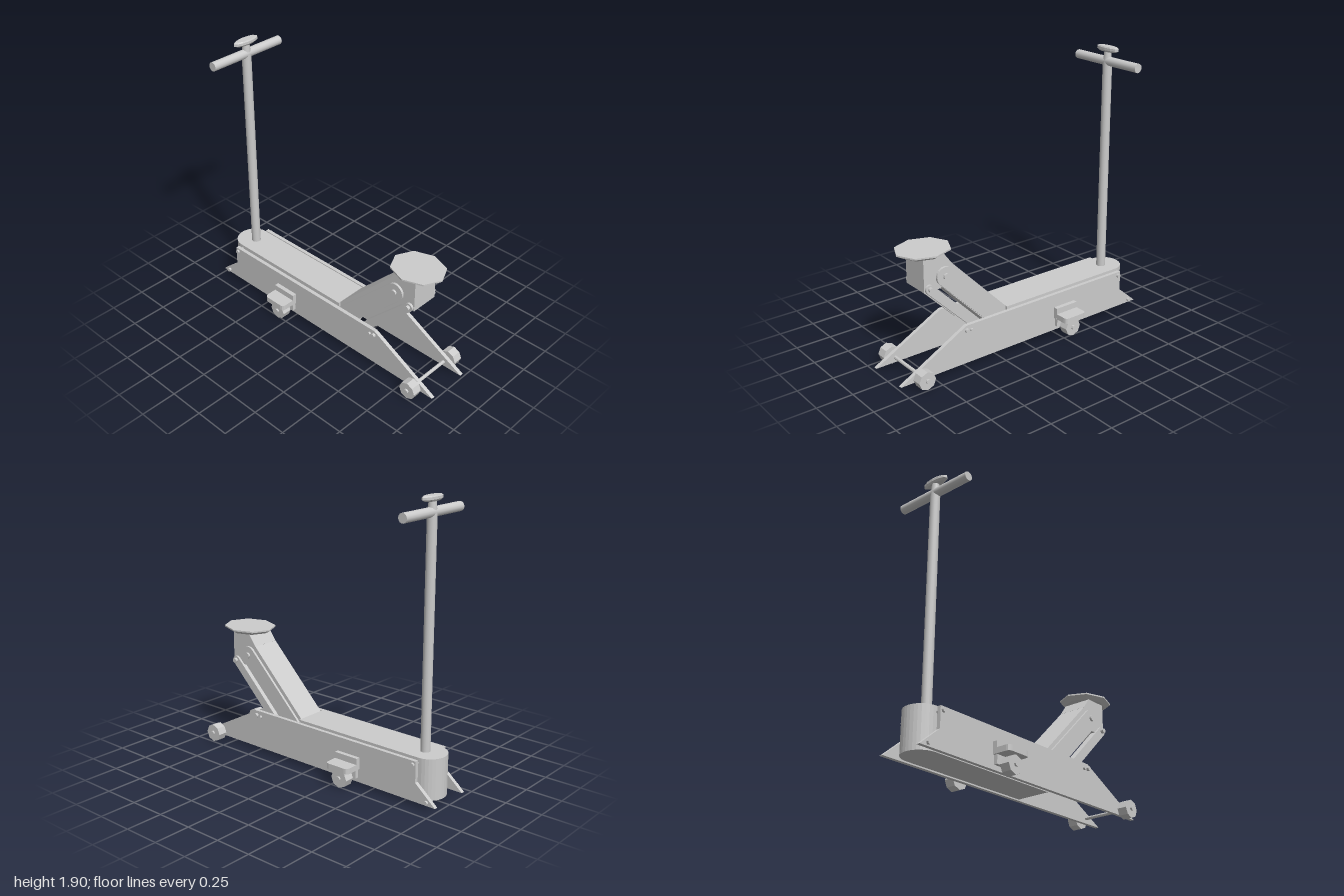
import * as THREE from 'three';

export function createModel() {
  const model = new THREE.Group();
  const flat = new THREE.MeshStandardMaterial({ color: 0xcccccc, flatShading: true });
  const smooth = new THREE.MeshStandardMaterial({ color: 0xcccccc });

  function add(name, geometry, x = 0, y = 0, z = 0, material = flat) {
    const mesh = new THREE.Mesh(geometry, material);
    mesh.name = name;
    mesh.position.set(x, y, z);
    model.add(mesh);
    return mesh;
  }
  const box = (name, w, h, d, x, y, z) => add(name, new THREE.BoxGeometry(w, h, d), x, y, z);

  // Side profile given as (z, y), extruded across x from x0 to x1
  function slab(name, shape, x0, x1) {
    const geometry = new THREE.ExtrudeGeometry(shape, { depth: x1 - x0, bevelEnabled: false, curveSegments: 6 });
    geometry.rotateY(-Math.PI / 2).translate(x1, 0, 0);
    return add(name, geometry);
  }
  const polygon = (points) => new THREE.Shape(points.map(([z, y]) => new THREE.Vector2(z, y)));

  // Bar with round ends between two (z, y) points
  function link([z0, y0], [z1, y1], r) {
    const a = Math.atan2(y1 - y0, z1 - z0);
    const shape = new THREE.Shape();
    shape.absarc(z0, y0, r, a + Math.PI / 2, a + Math.PI * 1.5, false);
    shape.absarc(z1, y1, r, a - Math.PI / 2, a + Math.PI / 2, false);
    return shape;
  }

  // Cylinder lying along x, with a flat side count
  function rod(name, r, x0, x1, y, z, sides = 8, material = flat) {
    const geometry = new THREE.CylinderGeometry(r, r, Math.abs(x1 - x0), sides);
    geometry.rotateZ(Math.PI / 2);
    return add(name, geometry, (x0 + x1) / 2, y, z, material);
  }

  // Body: long box with a rounded rear end
  const plan = new THREE.Shape();
  plan.moveTo(-0.118, -0.14);
  plan.lineTo(0.118, -0.14);
  plan.lineTo(0.118, 0.84);
  plan.absellipse(0, 0.84, 0.118, 0.115, 0, Math.PI, false);
  const bodyGeometry = new THREE.ExtrudeGeometry(plan, { depth: 0.275, bevelEnabled: false, curveSegments: 8 });
  bodyGeometry.rotateX(-Math.PI / 2);
  add('body', bodyGeometry, 0, 0.03, 0);

  // Lifting arm and the block that carries the saddle
  slab('liftArm', polygon([[0.63, 0.8], [0.14, 0.305], [0.06, 0.225], [0.06, 0.08], [0.14, 0.08], [0.65, 0.6]]), -0.1, 0.1);
  slab('saddleBlock', polygon([[0.77, 0.81], [0.62, 0.81], [0.56, 0.73], [0.645, 0.58], [0.77, 0.58]]), -0.1, 0.1);

  // Saddle: tapered octagonal pad
  const saddleGeometry = new THREE.CylinderGeometry(0.19, 0.15, 0.022, 8);
  const saddleRim = new THREE.CylinderGeometry(0.19, 0.19, 0.01, 8);
  for (const [geometry, name, y] of [[saddleGeometry, 'saddle', 0.815], [saddleRim, 'saddleRim', 0.831]]) {
    geometry.scale(0.86, 1, 1);
    add(name, geometry, 0, y, 0.708);
  }

  // Parts mirrored on both sides
  for (const s of [1, -1]) {
    const side = s > 0 ? 'left' : 'right';
    const pair = (name, shape, x0, x1) => slab(side + name, shape, Math.min(s * x0, s * x1), Math.max(s * x0, s * x1));

    pair('FramePlate', polygon([[1, 0.028], [0.5, 0.295], [-0.85, 0.295], [-0.85, 0.155], [-1, 0.028]]), 0.134, 0.16);
    pair('ArmPlate', link([0.62, 0.66], [0.13, 0.17], 0.062), 0.09, 0.116);
    pair('ParallelRod', link([0.735, 0.6], [0.4, 0.265], 0.03), 0.065, 0.115);

    // Bolts: radius, inner x, outer x, y, z
    const bolts = [
      [0.02, 0.1, 0.13, 0.66, 0.617], [0.016, 0.09, 0.135, 0.602, 0.735],
      [0.015, 0.14, 0.178, 0.262, 0.497], [0.011, 0.14, 0.174, 0.257, 0.46],
      [0.014, 0.1, 0.174, 0.27, -0.828], [0.014, 0.14, 0.176, 0.05, -0.937],
    ];
    for (const [r, x0, x1, y, z] of bolts) rod(side + 'Bolt', r, s * x0, s * x1, y, z, 10);

    // Front wheel
    rod(side + 'FrontWheel', 0.062, s * 0.175, s * 0.243, 0.06, 0.857);
    rod(side + 'FrontWheelCap', 0.016, s * 0.24, s * 0.256, 0.062, 0.857);

    // Rear wheel bracket: upright plate, rounded shelf and hanger
    box(side + 'BracketPlate', 0.03, 0.08, 0.18, s * 0.175, 0.16, -0.323);
    const shelf = new THREE.Shape();
    shelf.moveTo(0.16, 0.235);
    shelf.lineTo(0.26, 0.235);
    shelf.quadraticCurveTo(0.287, 0.235, 0.287, 0.262);
    shelf.lineTo(0.287, 0.386);
    shelf.quadraticCurveTo(0.287, 0.413, 0.26, 0.413);
    shelf.lineTo(0.16, 0.413);
    const shelfGeometry = new THREE.ExtrudeGeometry(shelf, { depth: 0.038, bevelEnabled: false, curveSegments: 3 });
    shelfGeometry.rotateX(-Math.PI / 2);
    if (s < 0) shelfGeometry.rotateZ(Math.PI).translate(0, 0.038, 0);
    add(side + 'BracketShelf', shelfGeometry, 0, 0.12, 0);
    box(side + 'WheelHanger', 0.025, 0.07, 0.16, s * 0.172, 0.095, -0.323);

    // Rear wheel
    rod(side + 'RearWheel', 0.062, s * 0.19, s * 0.258, 0.06, -0.323);
    rod(side + 'RearWheelCap', 0.016, s * 0.15, s * 0.27, 0.062, -0.323);
  }
  rod('frontAxle', 0.012, -0.18, 0.18, 0.063, 0.857);

  // Handle: post, crossbar and release knob
  const handleZ = -0.808;
  add('handlePost', new THREE.CylinderGeometry(0.032, 0.032, 1.5, 16), 0, 1.05, handleZ, smooth);
  rod('handleCrossbar', 0.031, -0.29, 0.29, 1.797, handleZ, 14, smooth);
  add('knobNeck', new THREE.CylinderGeometry(0.022, 0.03, 0.08, 12), 0, 1.84, handleZ, smooth);
  const knobProfile = [[0, -0.018], [0.075, -0.018], [0.1, -0.006], [0.1, 0.01], [0.085, 0.018], [0, 0.018]];
  const knobGeometry = new THREE.LatheGeometry(knobProfile.map(([r, y]) => new THREE.Vector2(r, y)), 12);
  knobGeometry.scale(1, 1, 0.33);
  add('releaseKnob', knobGeometry, 0, 1.88, handleZ);

  return model;
}
